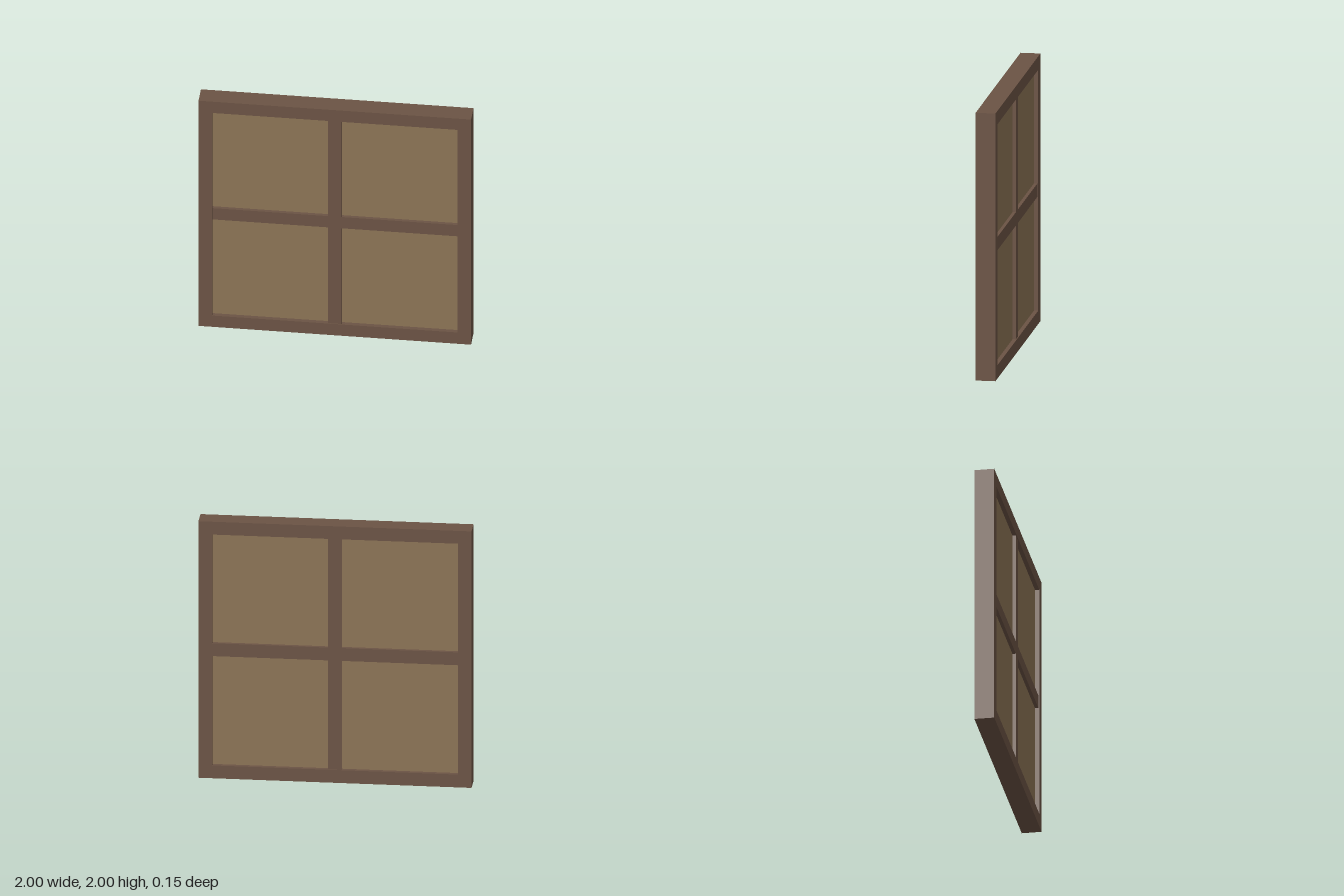
import * as THREE from 'three';

export function createModel() {
  const model = new THREE.Group();
  const frameMat = new THREE.MeshStandardMaterial({ color: 0x6b5344 });
  const panelMat = new THREE.MeshStandardMaterial({ color: 0x8b7355 });

  const add = (name, geometry, material, y = 1) => {
    const mesh = new THREE.Mesh(geometry, material);
    mesh.name = name;
    mesh.position.y = y;
    model.add(mesh);
  };

  // Rectangle outline centred on the origin
  const square = (Type, h) => new Type([[-h, -h], [h, -h], [h, h], [-h, h]]
    .map(([x, y]) => new THREE.Vector2(x, y)));

  // Outer frame with a square opening
  const depth = 0.147;
  const outline = square(THREE.Shape, 1);
  outline.holes.push(square(THREE.Path, 0.9));
  const frame = new THREE.ExtrudeGeometry(outline, { depth, bevelEnabled: false });
  frame.translate(0, 0, -depth / 2);
  add('frame', frame, frameMat);

  // Crossing bars, set slightly back from the frame face on both sides
  const w = 0.05, l = 0.9, barDepth = 0.134;
  const cross = new THREE.Shape([
    [-w, -l], [w, -l], [w, -w], [l, -w], [l, w], [w, w],
    [w, l], [-w, l], [-w, w], [-l, w], [-l, -w], [-w, -w],
  ].map(([x, y]) => new THREE.Vector2(x, y)));
  const bars = new THREE.ExtrudeGeometry(cross, { depth: barDepth, bevelEnabled: false });
  bars.translate(0, 0, -barDepth / 2);
  add('crossBars', bars, frameMat);

  // Recessed panel filling the opening
  add('panel', new THREE.BoxGeometry(1.8, 1.8, 0.084), panelMat);

  return model;
}
